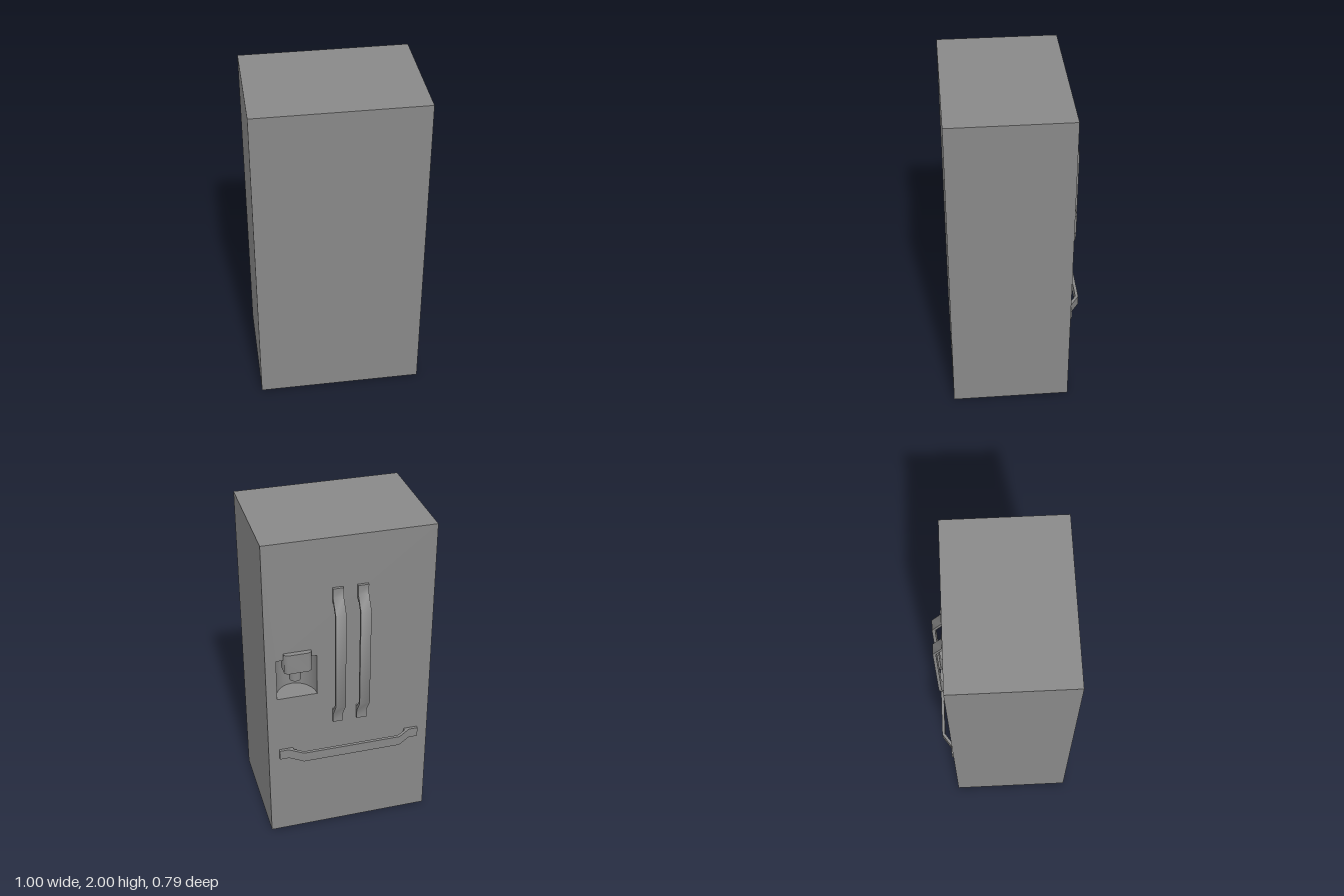
import * as THREE from 'three';
import { toCreasedNormals } from 'three/addons/utils/BufferGeometryUtils.js';

const W = 1, H = 2, BACK = -0.322, FRONT = 0.395;
const RECESS = { x: 0.316, y0: 0.995, y1: 1.26, r: 0.12, depth: 0.14 };

const grey = new THREE.MeshStandardMaterial({ color: 0x888888, side: THREE.DoubleSide });

function part(parent, name, geometry, x = 0, y = 0, z = 0) {
  const mesh = new THREE.Mesh(geometry, grey);
  mesh.name = name;
  mesh.position.set(x, y, z);
  parent.add(mesh);
}

function polygon(points) {
  return new THREE.Shape(points.map(([x, y]) => new THREE.Vector2(x, y)));
}

// Upright prism over a plan outline (x, distance towards -z), with shallow bends shaded smooth
function prism(points, height) {
  const g = new THREE.ExtrudeGeometry(polygon(points), { depth: height, bevelEnabled: false });
  g.rotateX(-Math.PI / 2);
  g.translate(0, -height / 2, 0);
  return toCreasedNormals(g, Math.PI / 3);
}

// Bent strap handle lying along x and standing out towards -z
function handleGeometry(stretch) {
  const outer = [[0.435, 0], [0.435, 0.017], [0.38, 0.017], [0.30, 0.073]];
  const inner = [[0.295, 0.055], [0.35, 0.017], [0.35, 0]];
  const mirror = (pts) => pts.map(([x, y]) => [-x, y]).reverse();
  const outline = [...outer, ...mirror(outer), ...mirror(inner), ...inner];
  return prism(outline.map(([x, y]) => [x * stretch, y]), 0.062);
}

export function createModel() {
  const fridge = new THREE.Group();
  fridge.name = 'refrigerator';

  // Cabinet: a box whose door side is left open
  const shell = new THREE.BoxGeometry(W, H, FRONT - BACK);
  shell.setIndex(Array.from(shell.index.array).slice(0, 30));
  shell.clearGroups();
  part(fridge, 'cabinet', shell, 0, H / 2, (FRONT + BACK) / 2);

  // Door panel with the dispenser opening, turned to face -z
  const { x, y0, y1, r, depth } = RECESS;
  const door = polygon([[-W / 2, 0], [W / 2, 0], [W / 2, H], [-W / 2, H]]);
  door.holes.push(polygon([[-x - r, y0], [-x - r, y1], [-x + r, y1], [-x + r, y0]]));
  const doorGeometry = new THREE.ShapeGeometry(door);
  doorGeometry.rotateY(Math.PI);
  part(fridge, 'doorPanel', doorGeometry, 0, 0, BACK);

  // Dispenser: curved recess, housing and nozzle
  const dispenser = new THREE.Group();
  dispenser.name = 'dispenser';
  fridge.add(dispenser);
  const wall = new THREE.CylinderGeometry(1, 1, y1 - y0, 32, 1, true, -Math.PI / 2, Math.PI);
  wall.scale(r, 1, depth);
  part(dispenser, 'recessWall', wall, x, (y0 + y1) / 2, BACK);
  for (const [name, y] of [['recessFloor', y0], ['recessCeiling', y1]]) {
    const g = new THREE.CircleGeometry(1, 32, 0, Math.PI);
    g.rotateX(Math.PI / 2);
    g.scale(r, 1, depth);
    part(dispenser, name, g, x, y, BACK);
  }

  const a = 0.081, b = 0.061;
  const housing = prism([
    [-a, -0.06], [-b, -0.09], [b, -0.09], [a, -0.06],
    [a, 0.017], [b, 0.03], [-b, 0.03], [-a, 0.017],
  ], 0.125);
  part(dispenser, 'dispenserHousing', housing, 0.312, 1.2425, BACK);
  part(dispenser, 'nozzle', new THREE.CylinderGeometry(0.035, 0.035, 0.11, 24), 0.316, 1.15, -0.275);

  // Handles: two upright on the upper doors, one across the drawer
  for (const side of [-1, 1]) {
    const g = handleGeometry(1.046);
    g.rotateZ(Math.PI / 2);
    part(fridge, side > 0 ? 'leftDoorHandle' : 'rightDoorHandle', g, side * 0.073, 1.235, BACK);
  }
  part(fridge, 'drawerHandle', handleGeometry(1), 0, 0.595, BACK);

  return fridge;
}
